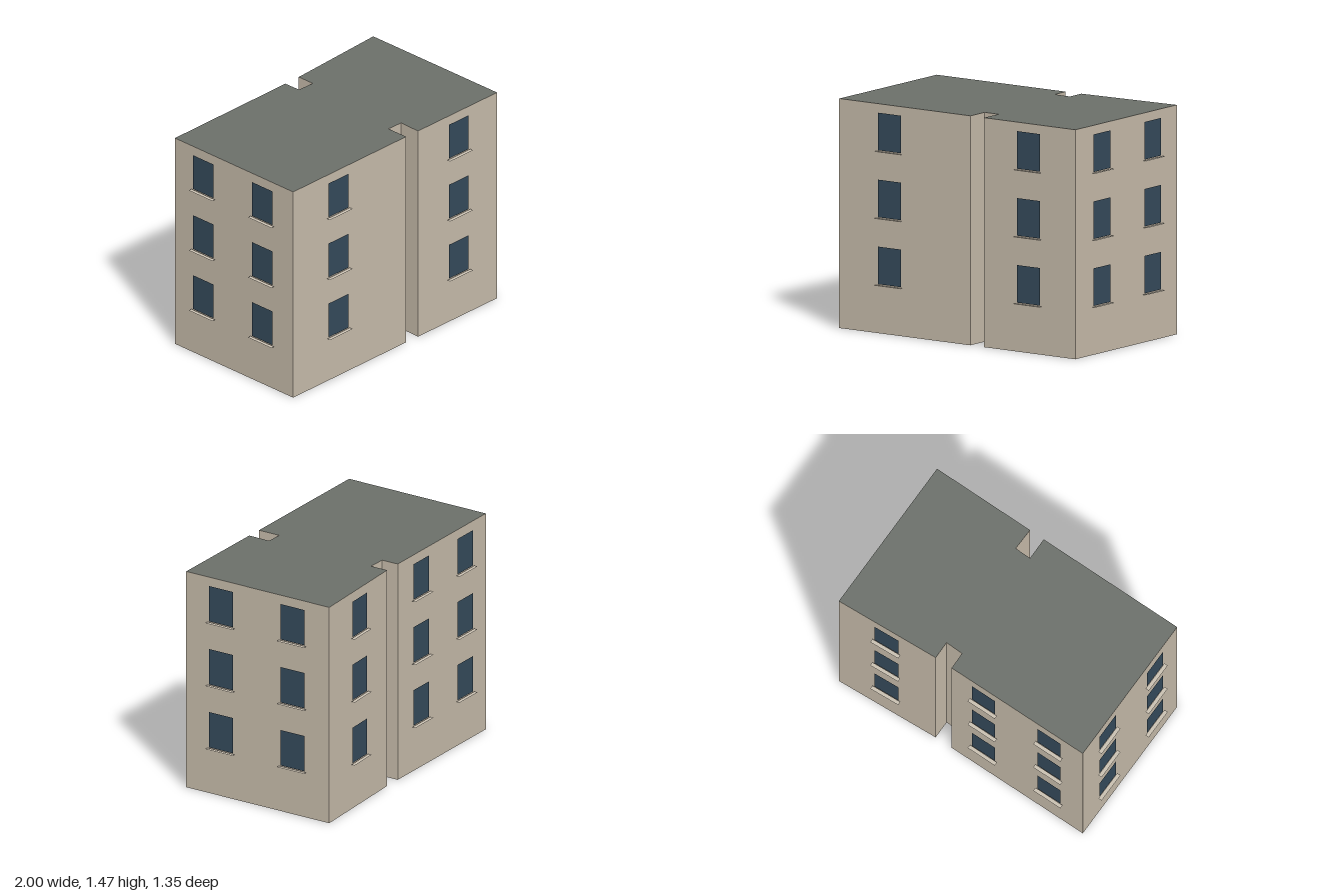
import * as THREE from 'three';

const WALL_HEIGHT = 1.465;
const WINDOW = { width: 0.178, height: 0.24, firstCentre: 0.435, pitch: 0.4275, floors: 3, gap: 0.011 };
const SILL = { width: 0.207, depth: 0.025, drop: 0.006 };

// Footprint corners [x, z], running from the front left to the right, back and left walls
const FOOTPRINT = [
  [-0.83, 0.67], [0.18, 0.51], [0.155, 0.36], [0.265, 0.345], [0.285, 0.495], [0.99, 0.385],
  [0.82, -0.68], [0.12, -0.53], [0.14, -0.41], [0.02, -0.395], [0.0, -0.51], [-0.99, -0.35],
];

// Walls with windows: starting corner and window positions along the wall
const WINDOW_WALLS = [
  { name: 'frontWestWindows', corner: 0, at: [0.39] },
  { name: 'frontEastWindows', corner: 4, at: [0.5] },
  { name: 'eastWindows', corner: 5, at: [0.25, 0.75] },
  { name: 'backEastWindows', corner: 6, at: [0.5] },
  { name: 'backWestWindows', corner: 10, at: [0.25, 0.75] },
  { name: 'westWindows', corner: 11, at: [0.25, 0.75] },
];

export function createModel() {
  const model = new THREE.Group();
  model.name = 'apartmentBlock';

  const wallMat = new THREE.MeshStandardMaterial({ color: 0xc4b9a8 });
  const roofMat = new THREE.MeshStandardMaterial({ color: 0x6b6f69 });
  const glassMat = new THREE.MeshStandardMaterial({ color: 0x34495a, side: THREE.DoubleSide });
  const sillMat = new THREE.MeshStandardMaterial({ color: 0xc8bfb0, side: THREE.DoubleSide });

  // Walls, flat roof and base from the notched footprint
  const shape = new THREE.Shape(FOOTPRINT.map(([x, z]) => new THREE.Vector2(x, -z)));
  const bodyGeo = new THREE.ExtrudeGeometry(shape, { depth: WALL_HEIGHT, bevelEnabled: false });
  bodyGeo.rotateX(-Math.PI / 2);
  const body = new THREE.Mesh(bodyGeo, [roofMat, wallMat]);
  body.name = 'wallsAndRoof';
  model.add(body);

  // Window pane facing +z and a thin flat sill reaching out from its foot
  const paneGeo = new THREE.PlaneGeometry(WINDOW.width, WINDOW.height);
  const sillGeo = new THREE.PlaneGeometry(SILL.width, SILL.depth).rotateX(-Math.PI / 2);
  sillGeo.translate(0, -WINDOW.height / 2 - SILL.drop, SILL.depth / 2);

  function addWindow(parent, x, y, z) {
    const pane = new THREE.Mesh(paneGeo, glassMat);
    pane.name = 'windowPane';
    const sill = new THREE.Mesh(sillGeo, sillMat);
    sill.name = 'windowSill';
    for (const part of [pane, sill]) {
      part.position.set(x, y, z);
      parent.add(part);
    }
  }

  // One group per wall, turned to face outward
  for (const { name, corner, at } of WINDOW_WALLS) {
    const [ax, az] = FOOTPRINT[corner];
    const [bx, bz] = FOOTPRINT[(corner + 1) % FOOTPRINT.length];
    const length = Math.hypot(bx - ax, bz - az);
    const wall = new THREE.Group();
    wall.name = name;
    wall.position.set(ax, 0, az);
    wall.rotation.y = Math.atan2(az - bz, bx - ax);
    for (const t of at) {
      for (let floor = 0; floor < WINDOW.floors; floor++) {
        addWindow(wall, t * length, WINDOW.firstCentre + floor * WINDOW.pitch, WINDOW.gap);
      }
    }
    model.add(wall);
  }

  return model;
}
